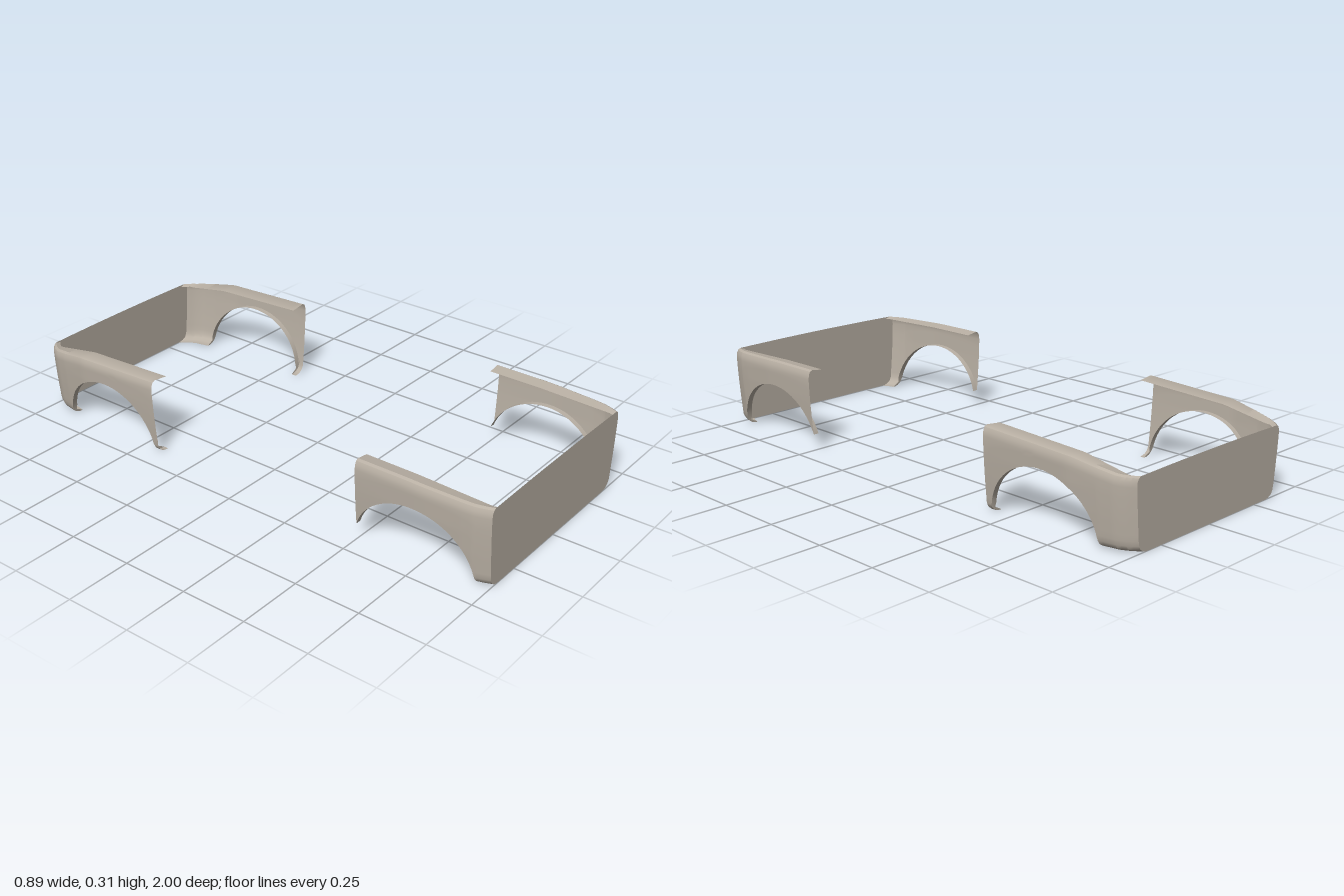
import * as THREE from 'three';
import { toCreasedNormals } from 'three/addons/utils/BufferGeometryUtils.js';

const paint = new THREE.MeshStandardMaterial({ color: 0xb8afa3, side: THREE.DoubleSide });
paint.name = 'warm grey paint';

// piecewise linear lookup in a list of [key, value], keys ascending
function lerpTable(table, k) {
  if (k <= table[0][0]) return table[0][1];
  for (let i = 1; i < table.length; i++) {
    const [k0, v0] = table[i - 1], [k1, v1] = table[i];
    if (k <= k1) return v0 + (v1 - v0) * (k - k0) / (k1 - k0);
  }
  return table[table.length - 1][1];
}

// how far the side tucks in at each height
const TUCK = [[0, 0.055], [0.004, 0.04], [0.012, 0.027], [0.03, 0.018], [0.12, 0.009], [0.2, 0.003], [0.27, 0]];

// both ends described by distance along |z|
const FRONT = {
  sign: 1, start: 0.5, arch: 0.72, radius: 0.23, rise: 0.213, flange: 0.378,
  height: [[0.5, 0.311], [0.7, 0.31], [1, 0.3]],
  width: [[0.5, 0.443], [0.75, 0.442], [0.9, 0.434], [0.94, 0.43], [0.97, 0.421], [1, 0.409]],
};
const REAR = {
  sign: -1, start: 0.41, arch: 0.655, radius: 0.225, rise: 0.213, flange: 0.365,
  height: [[0.41, 0.302], [0.78, 0.287], [0.95, 0.257], [1, 0.254]],
  width: [[0.41, 0.443], [0.77, 0.443], [0.88, 0.43], [0.94, 0.418], [0.975, 0.4], [1, 0.378]],
};

// side curve from shoulder ridge down to the lower edge
function sideCurve(end, z, bottom) {
  const H = lerpTable(end.height, z), X = lerpTable(end.width, z), top = H - 0.035;
  const pts = [[X - 0.018, H], [X - 0.008, H - 0.005], [X - 0.002, H - 0.017]];
  for (let i = 0; i <= 10; i++) {
    const y = bottom + (top - bottom) * Math.pow(1 - i / 10, 1.8);
    pts.push([X - lerpTable(TUCK, y), y]);
  }
  return pts;
}

// full section: top flange, side, and inward lip along the wheel arch
function section(end, z) {
  const d = (z - end.arch) / end.radius;
  const bottom = Math.abs(d) < 1 ? end.rise * Math.sqrt(1 - d * d) : 0;
  const pts = sideCurve(end, z, bottom);
  const [ridge, H] = pts[0], [edge] = pts[pts.length - 1];
  pts.unshift([Math.min(end.flange, ridge - 0.02), H - 0.007]);
  pts.push([edge - (bottom > 0.03 ? 0.022 : 0.012), bottom]);
  return pts;
}

function fender(end, side, name) {
  // stations close up toward the steep feet of the arch
  const stations = [end.start];
  for (let i = 0; i <= 40; i++) {
    const z = end.arch - end.radius * Math.cos(Math.PI * i / 40);
    if (z > end.start + 0.001) stations.push(z);
  }
  const last = stations[stations.length - 1];
  for (let i = 1; i <= 8; i++) stations.push(last + (1 - last) * i / 8);

  const pos = [], idx = [];
  let n = 0;
  stations.forEach((z, r) => {
    const pts = section(end, z);
    n = pts.length;
    pts.forEach(([x, y]) => pos.push(side * x, y, end.sign * z));
    if (r === 0) return;
    for (let i = 0; i < n - 1; i++) {
      const a = (r - 1) * n + i, b = r * n + i;
      if (side * end.sign > 0) idx.push(a, b, a + 1, b, b + 1, a + 1);
      else idx.push(a, a + 1, b, b, a + 1, b + 1);
    }
  });
  const geo = new THREE.BufferGeometry();
  geo.setAttribute('position', new THREE.Float32BufferAttribute(pos, 3));
  geo.setIndex(idx);
  const mesh = new THREE.Mesh(toCreasedNormals(geo, 0.6), paint);
  mesh.name = name;
  return mesh;
}

// flat end panel whose sides follow the fender edges
function panel(end, name) {
  const edge = sideCurve(end, 1, 0);
  const top = edge[0][1];
  const shape = new THREE.Shape();
  shape.moveTo(-edge[0][0], top);
  shape.quadraticCurveTo(0, top + 0.008, edge[0][0], top);
  edge.slice(1).forEach(([x, y]) => shape.lineTo(x, y));
  edge.slice(1).reverse().forEach(([x, y]) => shape.lineTo(-x, y));
  const geo = new THREE.ShapeGeometry(shape, 16);
  if (end.sign < 0) geo.rotateY(Math.PI);
  geo.translate(0, 0, end.sign);
  const mesh = new THREE.Mesh(geo, paint);
  mesh.name = name;
  return mesh;
}

export function createModel() {
  const model = new THREE.Group();
  model.name = 'bodyPanels';
  for (const [end, label] of [[FRONT, 'front'], [REAR, 'rear']]) {
    model.add(panel(end, label + 'Panel'));
    model.add(fender(end, 1, label + 'LeftFender'));
    model.add(fender(end, -1, label + 'RightFender'));
  }
  return model;
}
